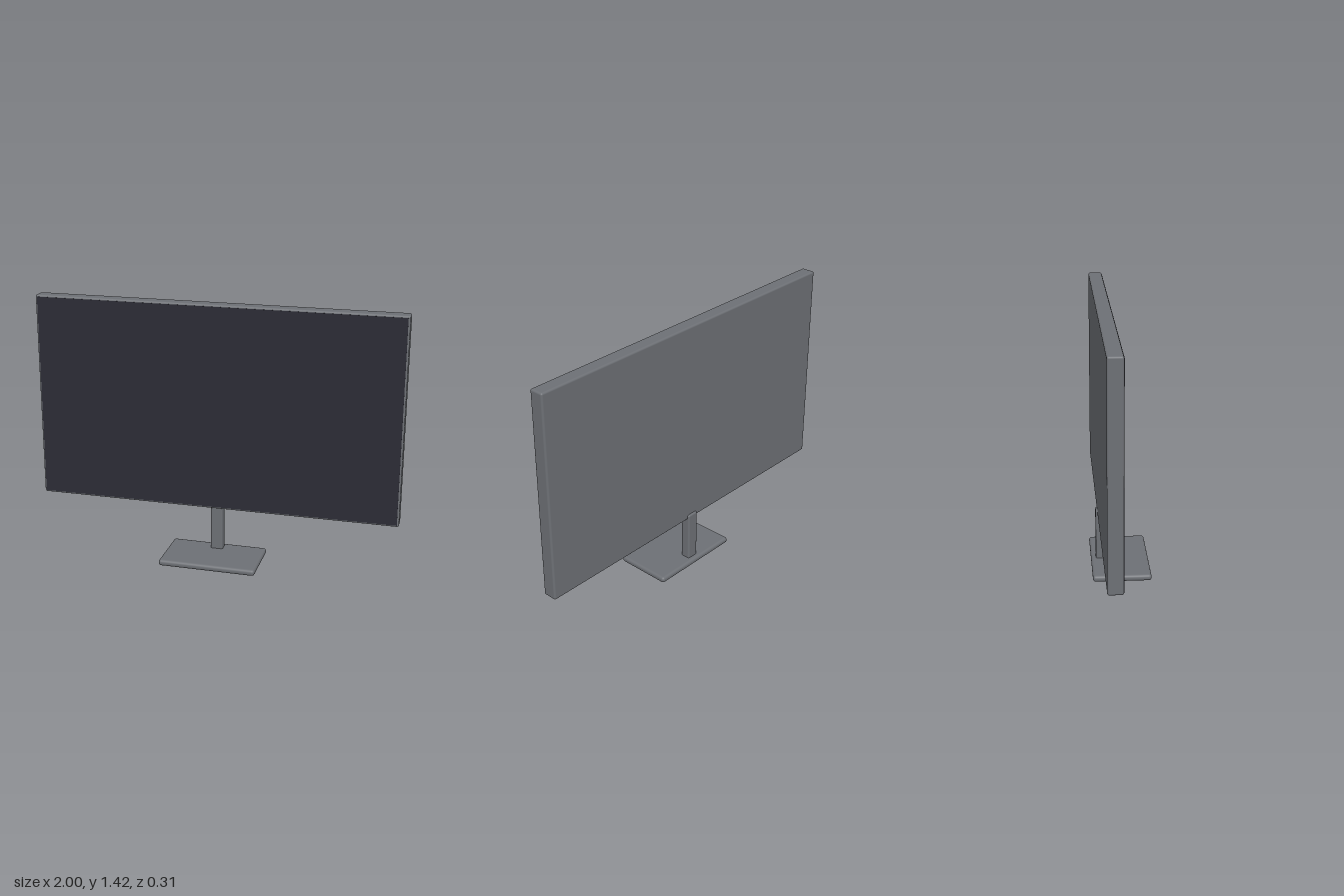
import * as THREE from 'three';
import { RoundedBoxGeometry } from 'three/addons/geometries/RoundedBoxGeometry.js';

export function createModel() {
  const model = new THREE.Group();
  model.name = 'monitor';

  const casing = new THREE.MeshStandardMaterial({ color: 0x6d7075 });
  casing.name = 'casing grey';
  const glass = new THREE.MeshStandardMaterial({ color: 0x2c2c35 });
  glass.name = 'screen black';

  // Rounded box given by its low and high corners
  function roundedBox(name, low, high, radius, material) {
    const size = high.map((v, i) => v - low[i]);
    const mesh = new THREE.Mesh(new RoundedBoxGeometry(...size, 4, radius), material);
    mesh.position.set(...high.map((v, i) => (v + low[i]) / 2));
    mesh.name = name;
    model.add(mesh);
  }

  // Stand: flat foot and upright neck
  roundedBox('base', [-0.268, 0, -0.156], [0.268, 0.034, 0.156], 0.015, casing);
  roundedBox('neck', [-0.034, 0.015, -0.13], [0.034, 0.313, -0.075], 0.01, casing);

  // Display housing
  roundedBox('housing', [-1, 0.286, -0.12], [1, 1.42, -0.042], 0.01, casing);

  // Thin screen plate inside the narrow bezel
  const screen = new THREE.Mesh(new THREE.BoxGeometry(1.98, 1.114, 0.004), glass);
  screen.position.set(0, 0.853, -0.0425);
  screen.name = 'screen';
  model.add(screen);

  return model;
}
